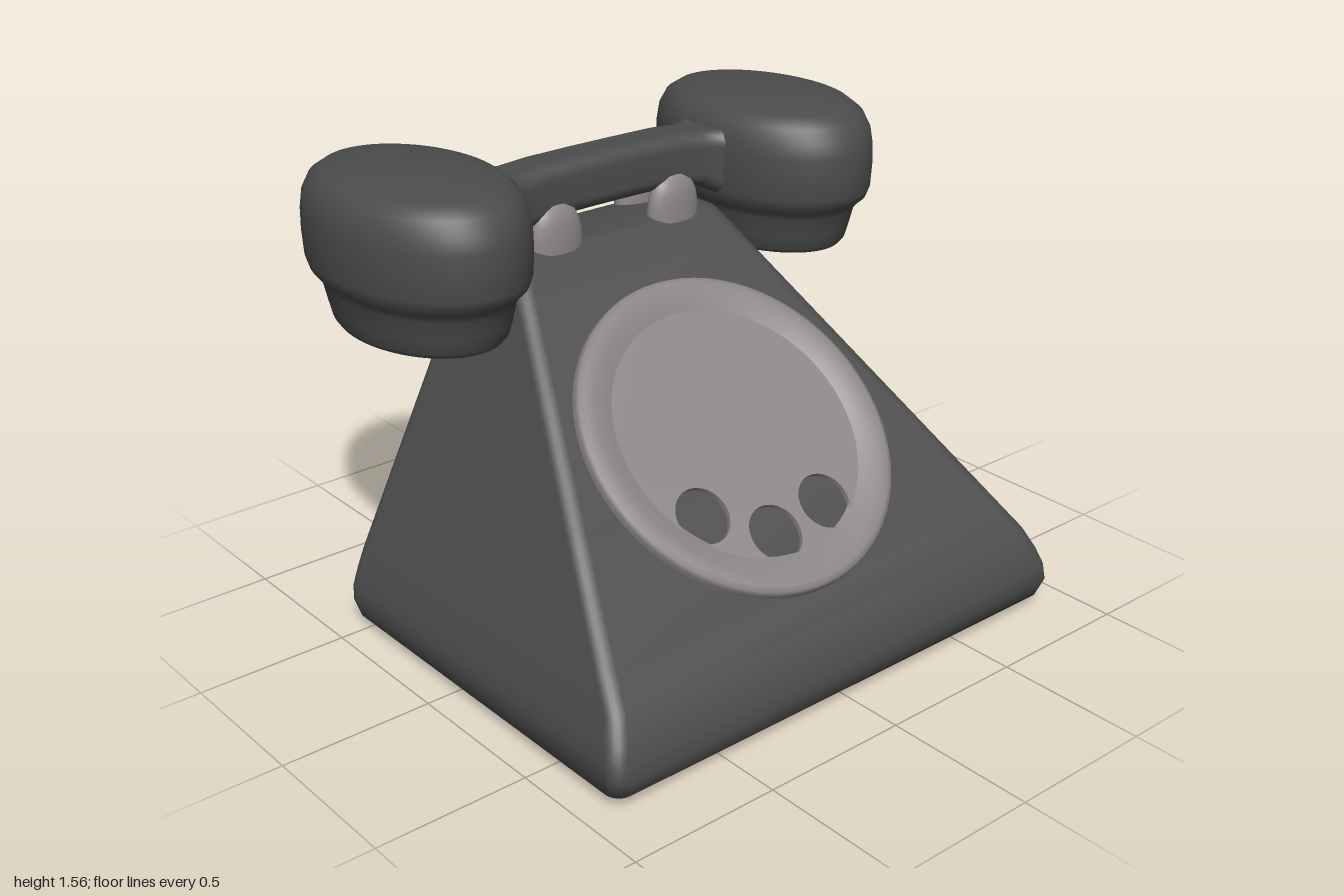
import * as THREE from 'three';

const dark = new THREE.MeshStandardMaterial({ color: 0x4c4c4c });
const pale = new THREE.MeshStandardMaterial({ color: 0x8c8585 });

function addMesh(parent, name, geometry, material) {
  const mesh = new THREE.Mesh(geometry, material);
  mesh.name = name;
  parent.add(mesh);
  return mesh;
}

// Rounded rectangle outline, counter-clockwise, centred on (cu, cv)
function roundedRing(cu, cv, hu, hv, r) {
  const ring = [];
  const n = 6;
  [[1, 1], [-1, 1], [-1, -1], [1, -1]].forEach(([su, sv], corner) => {
    for (let i = 0; i <= n; i++) {
      const a = (corner + i / n) * Math.PI / 2;
      ring.push([cu + su * (hu - r) + r * Math.cos(a), cv + sv * (hv - r) + r * Math.sin(a)]);
    }
  });
  return ring;
}

// Skin a stack of 3D rings and close both ends at the given centre points
function loft(rings, startCentre, endCentre) {
  const n = rings[0].length;
  const last = (rings.length - 1) * n;
  const points = [...rings.flat(), startCentre, endCentre];
  const index = [];
  for (let j = 0; j < n; j++) {
    const k = (j + 1) % n;
    for (let i = 0; i < last; i += n) {
      index.push(i + j, i + k, i + n + k, i + j, i + n + k, i + n + j);
    }
    index.push(last + n, k, j, last + n + 1, last + j, last + k);
  }
  const g = new THREE.BufferGeometry();
  g.setAttribute('position', new THREE.Float32BufferAttribute(points.flat(), 3));
  g.setIndex(index);
  g.computeVertexNormals();
  return g;
}

// Wedge-shaped housing: vertical back, sloping dial face, tapering sides
function bodyGeometry() {
  const faceX = y => -0.1 + (1.04 - y) * 1.087;
  const sideZ = y => 0.9 - (y - 0.2) * 0.475;
  // height, back x, front x, half width, corner radius
  const levels = [
    [0.01, -0.48, 0.7, 0.8, 0.04],
    [0.018, -0.54, 0.77, 0.88, 0.05],
    [0.035, -0.568, 0.8, 0.905, 0.05],
    [0.09, -0.582, 0.82, 0.92, 0.05],
    [0.14, -0.581, 0.81, 0.918, 0.05],
    [0.19, -0.579, 0.79, 0.902, 0.05],
  ];
  for (const y of [0.26, 0.34, 0.6, 0.9, 1.12, 1.18]) {
    levels.push([y, -0.579 + (y - 0.19) * 0.04, faceX(y), sideZ(y), 0.045]);
  }
  levels.push([1.21, -0.53, -0.285, 0.415, 0.04], [1.222, -0.5, -0.31, 0.38, 0.03]);
  const rings = levels.map(([y, back, front, hz, r]) =>
    roundedRing(0, (back + front) / 2, hz, (front - back) / 2, r).map(([z, x]) => [x, y, z]));
  return loft(rings, [0.1, 0, 0], [-0.405, 1.225, 0]);
}

// Handle bar that flares where it enters each cup
function handleGeometry() {
  // z, half width, bottom, top
  const half = [
    [0.08, 0.087, 1.3, 1.48],
    [0.25, 0.088, 1.298, 1.478],
    [0.36, 0.095, 1.28, 1.468],
    [0.42, 0.12, 1.25, 1.465],
    [0.48, 0.18, 1.23, 1.485],
    [0.56, 0.25, 1.23, 1.5],
  ];
  const stations = [...half.map(([z, ...s]) => [-z, ...s]).reverse(), ...half];
  const rings = stations.map(([z, hw, lo, hi]) =>
    roundedRing(-0.387, (lo + hi) / 2, hw, (hi - lo) / 2, 0.05).map(([x, y]) => [x, y, z]));
  return loft(rings, [-0.387, 1.36, -0.56], [-0.387, 1.36, 0.56]);
}

// Oval cup with a narrower mouthpiece below the bulge
function cupGeometry() {
  const lower = [[0, 1.05], [0.29, 1.05], [0.325, 1.052], [0.342, 1.07], [0.358, 1.12], [0.375, 1.18]];
  const upper = [[0.395, 1.205], [0.422, 1.228], [0.435, 1.26], [0.44, 1.33], [0.438, 1.4], [0.428, 1.45],
    [0.4, 1.495], [0.35, 1.525], [0.26, 1.543], [0.14, 1.555], [0, 1.56]];
  const profile = [...lower, ...upper].map(([r, y]) => new THREE.Vector2(r, y));
  return new THREE.LatheGeometry(profile, 64).scale(1, 1, 0.675);
}

// Dial: raised soft rim around a thin plate with finger holes
function createDial() {
  const dial = new THREE.Group();
  dial.name = 'dial';
  const rimProfile = [[0.55, -0.03], [0.55, 0.015], [0.543, 0.03], [0.525, 0.038], [0.49, 0.036], [0.45, 0.024], [0.42, 0.012]]
    .map(([r, y]) => new THREE.Vector2(r, y));
  addMesh(dial, 'dialRim', new THREE.LatheGeometry(rimProfile, 72).rotateX(Math.PI / 2), pale);

  const plate = new THREE.Shape().absarc(0, 0, 0.5, 0, Math.PI * 2);
  for (const degrees of [-62, -101, -143]) {
    const a = THREE.MathUtils.degToRad(degrees);
    const hole = new THREE.Path().absarc(0.345 * Math.cos(a), 0.345 * Math.sin(a), 0.092, 0, Math.PI * 2, true);
    plate.holes.push(hole);
  }
  const plateGeometry = new THREE.ExtrudeGeometry(plate, { depth: 0.03, bevelEnabled: false, curveSegments: 36 });
  addMesh(dial, 'fingerPlate', plateGeometry.translate(0, 0, -0.014), pale);

  // Lay the dial flat on the sloping face
  const basis = new THREE.Matrix4().makeBasis(
    new THREE.Vector3(0, 0, -1), new THREE.Vector3(-0.736, 0.677, 0), new THREE.Vector3(0.677, 0.736, 0));
  dial.quaternion.setFromRotationMatrix(basis);
  dial.position.set(0.272, 0.7, 0);
  return dial;
}

export function createModel() {
  const phone = new THREE.Group();
  phone.name = 'telephone';
  addMesh(phone, 'body', bodyGeometry(), dark);
  phone.add(createDial());

  // Four cradle prongs, one pair on each side of the handle
  const prongProfile = [[0.1, 0], [0.1, 0.045], [0.092, 0.09], [0.075, 0.125], [0.045, 0.15], [0, 0.16]]
    .map(([r, y]) => new THREE.Vector2(r, y));
  const prongGeometry = new THREE.LatheGeometry(prongProfile, 32).scale(0.5, 1, 1);
  for (const z of [-0.24, 0.24]) {
    for (const x of [-0.49, -0.318]) {
      addMesh(phone, 'cradleProng', prongGeometry, pale).position.set(x, 1.2, z);
    }
  }

  // Handset
  const handset = new THREE.Group();
  handset.name = 'handset';
  phone.add(handset);
  addMesh(handset, 'handle', handleGeometry(), dark);
  const cup = cupGeometry();
  addMesh(handset, 'earpiece', cup, dark).position.set(-0.39, 0, 0.703);
  addMesh(handset, 'mouthpiece', cup, dark).position.set(-0.39, 0, -0.703);
  return phone;
}
